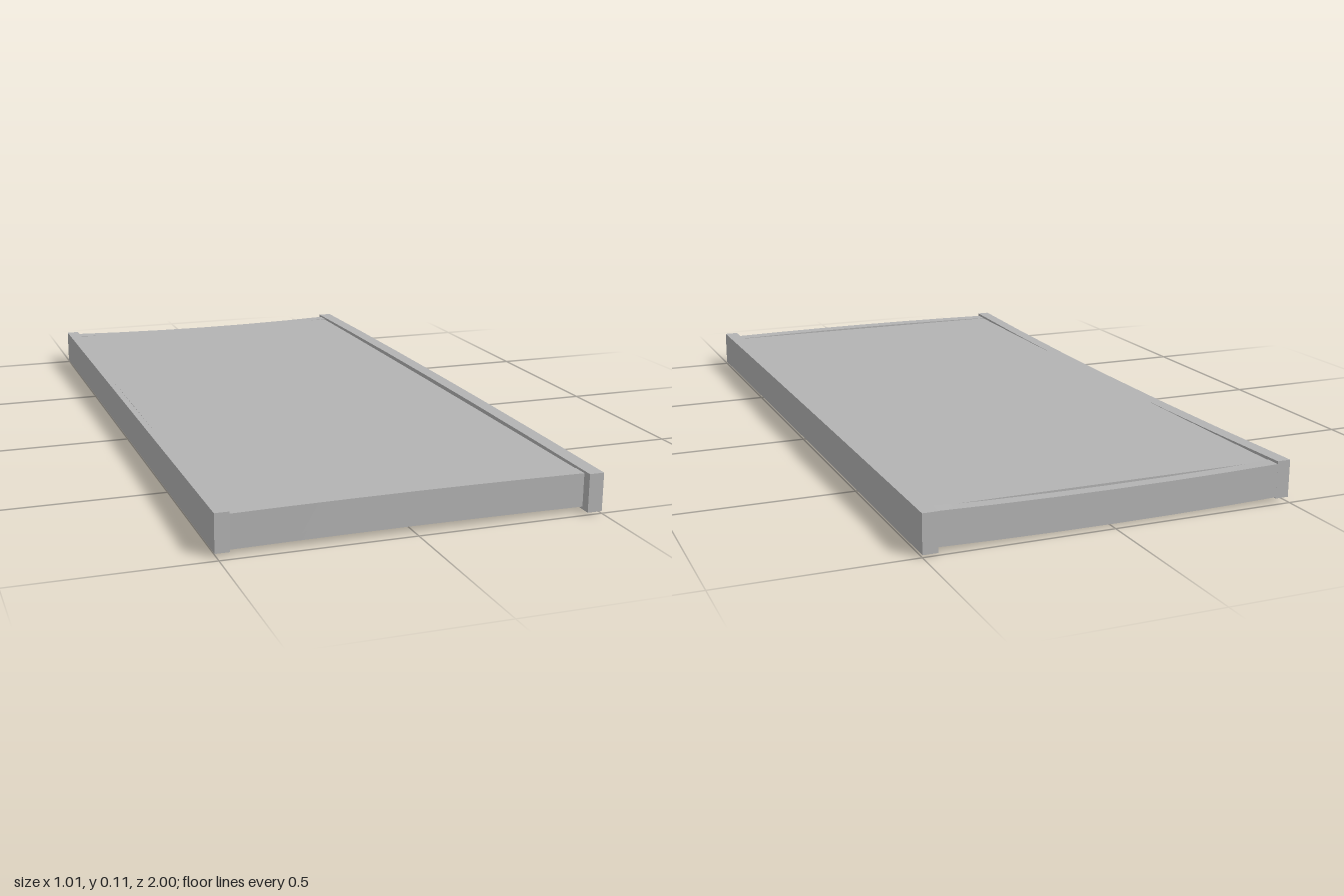
import * as THREE from 'three';

export function createModel() {
  const group = new THREE.Group();
  group.name = 'framedPanel';
  const grey = new THREE.MeshStandardMaterial({ color: 0xb3b3b3 });
  grey.name = 'plainGrey';

  // Box given by its limits, bowed by an offset that is greatest mid-length
  function rail(name, min, max, axis = 'x', bow = [0, 0, 0], segments = 6) {
    const lo = new THREE.Vector3(...min), hi = new THREE.Vector3(...max);
    const size = hi.clone().sub(lo), mid = hi.clone().add(lo).multiplyScalar(0.5);
    let geo = new THREE.BoxGeometry(size.x, size.y, size.z,
      axis === 'x' ? segments : 1, 1, axis === 'z' ? segments : 1);
    const pos = geo.attributes.position, v = new THREE.Vector3(), b = new THREE.Vector3(...bow);
    for (let i = 0; i < pos.count; i++) {
      v.fromBufferAttribute(pos, i);
      const t = (2 * v[axis]) / size[axis];
      v.addScaledVector(b, 1 - t * t).add(mid);
      pos.setXYZ(i, v.x, v.y, v.z);
    }
    geo.computeVertexNormals();
    const mesh = new THREE.Mesh(geo, grey);
    mesh.name = name;
    group.add(mesh);
  }

  // Slightly warped frame: long side rails, then the two short end rails
  rail('rightRail', [-0.505, 0.015, -0.985], [-0.468, 0.115, 0.98], 'z', [0.007, -0.01, 0]);
  rail('leftRail', [0.46, 0.011, -1], [0.5, 0.113, 1], 'z', [0.003, 0.005, 0]);
  rail('frontRail', [-0.475, 0.018, 0.93], [0.467, 0.107, 0.973], 'x', [0, 0.004, 0.002]);
  rail('backRail', [-0.475, 0.019, -0.985], [0.467, 0.108, -0.945], 'x', [0, -0.008, 0.003]);

  // Flat board set between the rails, near their top
  rail('panel', [-0.48, 0.073, -0.95], [0.47, 0.106, 0.935], 'x', [0, 0, 0], 1);

  return group;
}
